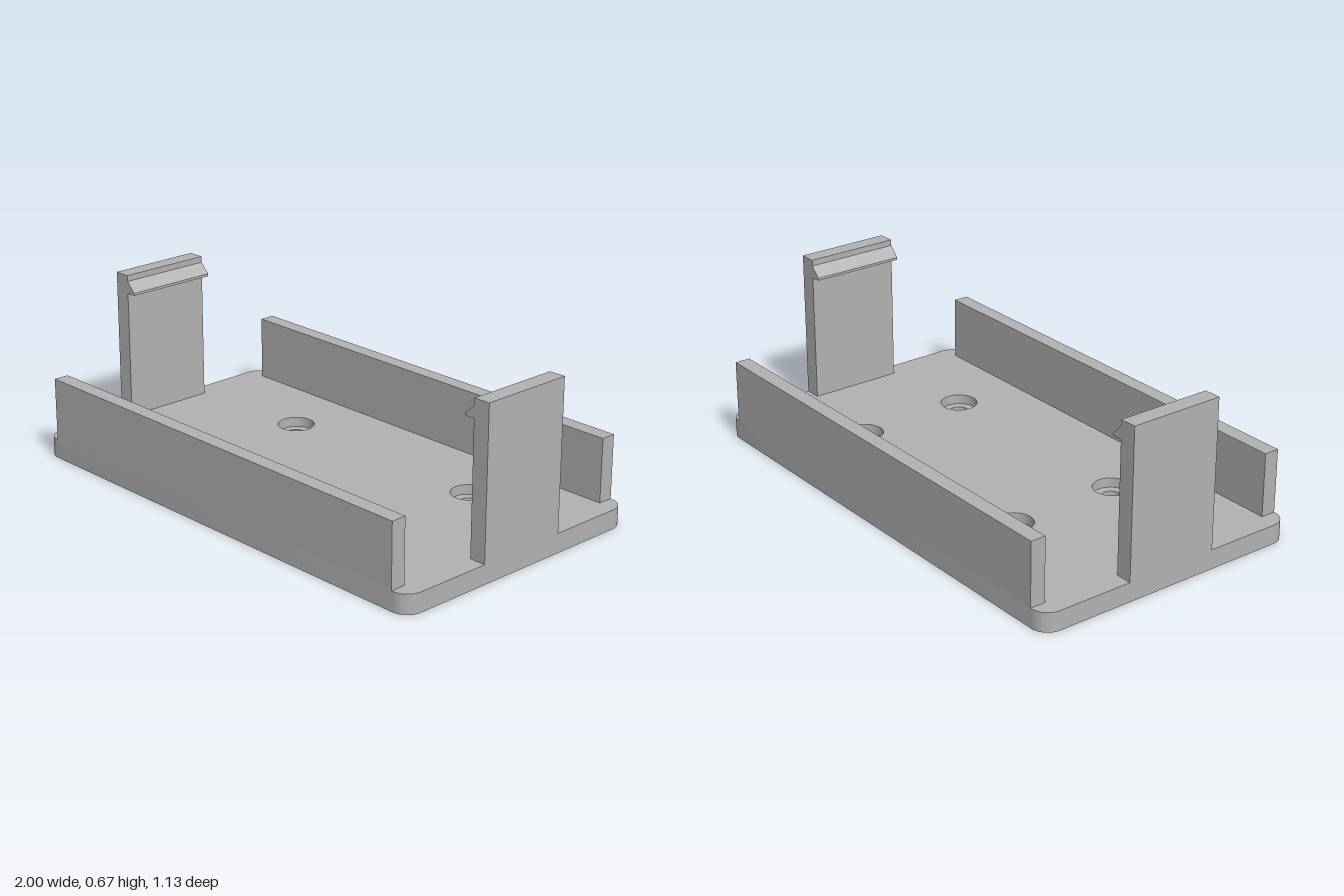
import * as THREE from 'three';
import { toCreasedNormals } from 'three/addons/utils/BufferGeometryUtils.js';

const BASE_H = 0.077, HALF_Z = 0.565, CORNER = 0.07;
const BORE_R = 0.073, HOLE_R = 0.04, COLLAR_H = 0.038;

// Extrude a plan shape upward from y = 0, keeping round walls smooth
function extrudeUp(shape, height) {
  const geo = new THREE.ExtrudeGeometry(shape, { depth: height, bevelEnabled: false, curveSegments: 16 });
  return toCreasedNormals(geo.rotateX(-Math.PI / 2), 0.6);
}

function circle(PathType, x, y, r) {
  return new PathType().absarc(x, y, r, 0, Math.PI * 2, false);
}

export function createModel() {
  const model = new THREE.Group();
  const grey = new THREE.MeshStandardMaterial({ color: 0xb2b2b2 });
  grey.name = 'grey plastic';

  const add = (name, geo) => {
    const mesh = new THREE.Mesh(geo, grey);
    mesh.name = name;
    model.add(mesh);
    return mesh;
  };

  // Rounded base plate with four counterbored screw holes
  const x = 1 - CORNER, z = HALF_Z - CORNER;
  const plate = new THREE.Shape();
  plate.absarc(x, z, CORNER, 0, Math.PI / 2);
  plate.absarc(-x, z, CORNER, Math.PI / 2, Math.PI);
  plate.absarc(-x, -z, CORNER, Math.PI, Math.PI * 1.5);
  plate.absarc(x, -z, CORNER, Math.PI * 1.5, Math.PI * 2);
  plate.closePath();

  for (const hx of [-0.413, 0.535]) {
    for (const hz of [-0.23, 0.23]) {
      plate.holes.push(circle(THREE.Path, hx, hz, BORE_R));
      // Narrow collar at the foot of each bore
      const ring = circle(THREE.Shape, 0, 0, BORE_R);
      ring.holes.push(circle(THREE.Path, 0, 0, HOLE_R));
      add('screwSeat', extrudeUp(ring, COLLAR_H)).position.set(hx, 0, hz);
    }
  }
  add('basePlate', extrudeUp(plate, BASE_H));

  // Long side rails
  const railH = 0.33 - BASE_H, railT = 0.061;
  for (const s of [1, -1]) {
    add(s > 0 ? 'frontRail' : 'backRail', new THREE.BoxGeometry(1.854, railH, railT))
      .position.set(0, BASE_H + railH / 2, s * (HALF_Z - railT / 2));
  }

  // Snap clips at both ends, with a sloped hook on the inner face
  const profile = new THREE.Shape([
    [1, BASE_H], [1, 0.667], [0.933, 0.667], [0.933, 0.643],
    [0.893, 0.603], [0.893, 0.593], [0.933, 0.593], [0.933, BASE_H],
  ].map(([px, py]) => new THREE.Vector2(px, py)));
  const clip = new THREE.ExtrudeGeometry(profile, { depth: 0.38, bevelEnabled: false });
  clip.translate(0, 0, -0.19);
  add('leftClip', clip);
  add('rightClip', clip).rotation.y = Math.PI;

  return model;
}
